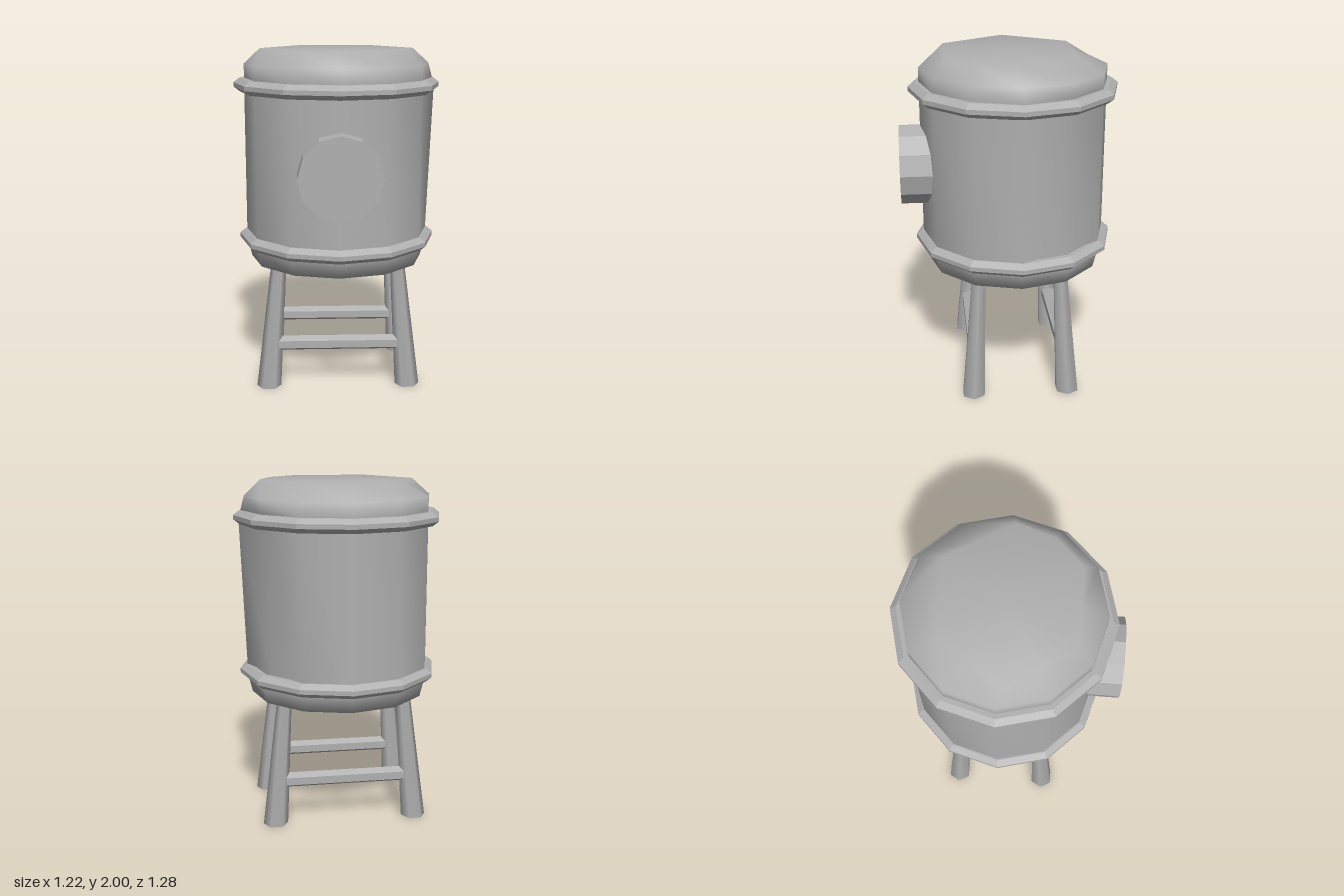
import * as THREE from 'three';

const SIDES = 12;
const CZ = -0.03; // the tank axis sits slightly behind centre

// Facet a geometry so each face is flat
function faceted(geometry) {
  const g = geometry.index ? geometry.toNonIndexed() : geometry;
  g.computeVertexNormals();
  return g;
}

// Smooth tank shell from rings of 12 points, closed at both ends
function tankGeometry() {
  const wall = (bump) => (k) => (k === 11 ? 0.49 : k === 0 ? 0.547 + bump : 0.547);
  const rows = [
    { y: 0.74, r: () => 0, z: CZ },
    { y: 0.74, r: () => 0.52, z: CZ },
    { y: 0.84, r: () => 0.545, z: CZ },
    { y: 0.9, r: wall(0), z: CZ },
    { y: 1.76, r: wall(0.033), z: CZ },
    { y: 1.83, r: (k) => (k === 0 ? 0.568 : 0.547), z: CZ },
    { y: 1.91, r: () => 0.547, z: CZ },
    // the flat top has six main corners and one extra
    { y: 2, r: (k) => (k === 1 ? 0.44 : k % 2 ? 0.39 : 0.45), z: 0, sz: 0.94 },
    { y: 2, r: () => 0, z: 0 },
  ];
  const pos = [];
  const index = [];
  rows.forEach((row, i) => {
    for (let k = 0; k < SIDES; k++) {
      const a = (k / SIDES) * Math.PI * 2;
      const r = row.r(k);
      pos.push(r * Math.cos(a), row.y, row.z + r * Math.sin(a) * (row.sz ?? 1));
      if (i === rows.length - 1) continue;
      const p = i * SIDES + k;
      const q = i * SIDES + ((k + 1) % SIDES);
      if (i < rows.length - 2) index.push(p, p + SIDES, q + SIDES);
      if (i > 0) index.push(p, q + SIDES, q);
    }
  });
  // one shared centre point for each end
  const last = (rows.length - 1) * SIDES;
  const shared = index.map((v) => (v < SIDES ? 0 : v >= last ? last : v));
  const g = new THREE.BufferGeometry();
  g.setAttribute('position', new THREE.Float32BufferAttribute(pos, 3));
  g.setIndex(shared);
  g.computeVertexNormals();
  return g;
}

// Bevelled hoop around the tank
function hoopGeometry(radius) {
  const profile = [
    [-0.09, -0.04], [-0.035, -0.04], [0, -0.013], [0, 0.013],
    [-0.035, 0.04], [-0.064, 0.04], [-0.09, -0.04],
  ].map(([r, y]) => new THREE.Vector2(radius + r, y));
  return faceted(new THREE.LatheGeometry(profile, SIDES));
}

// Six-sided tapered leg leaning from foot to top
function legGeometry(foot, top) {
  const height = top.y - foot.y;
  const g = new THREE.CylinderGeometry(0.042, 0.0725, height, 6);
  g.rotateY(Math.PI / 2);
  const p = g.attributes.position;
  for (let i = 0; i < p.count; i++) {
    const t = p.getY(i) / height + 0.5;
    p.setXYZ(
      i,
      p.getX(i) + THREE.MathUtils.lerp(foot.x, top.x, t),
      foot.y + t * height,
      p.getZ(i) + THREE.MathUtils.lerp(foot.z, top.z, t),
    );
  }
  return g;
}

export function createModel() {
  const group = new THREE.Group();
  const grey = new THREE.MeshStandardMaterial({ color: 0xb0b0b0 });
  grey.name = 'plain grey';

  const add = (name, geometry, x = 0, y = 0, z = 0) => {
    const mesh = new THREE.Mesh(geometry, grey);
    mesh.name = name;
    mesh.position.set(x, y, z);
    group.add(mesh);
    return mesh;
  };

  add('tank', tankGeometry());
  add('upperHoop', hoopGeometry(0.61), 0, 1.788, CZ);
  add('lowerHoop', hoopGeometry(0.59), 0, 0.873, CZ);

  // Round hatch on the front
  const hatch = new THREE.CylinderGeometry(0.236, 0.236, 0.2, 12);
  hatch.rotateX(Math.PI / 2);
  add('hatch', faceted(hatch), 0, 1.335, 0.54);

  // Four splayed legs, and a crossbar for each pair
  for (const sz of [1, -1]) {
    const end = sz > 0 ? 'front' : 'back';
    for (const sx of [1, -1]) {
      const foot = new THREE.Vector3(sx * 0.417, 0, -0.033 + sz * 0.283);
      const top = new THREE.Vector3(sx * 0.35, 0.78, -0.033 + sz * 0.238);
      add(end + (sx > 0 ? 'LeftLeg' : 'RightLeg'), legGeometry(foot, top));
    }
    const bar = new THREE.CylinderGeometry(0.045, 0.045, 0.71, 6);
    bar.rotateY(Math.PI / 2);
    bar.rotateZ(Math.PI / 2);
    add(end + 'Crossbar', faceted(bar), 0, 0.264, -0.033 + sz * 0.268);
  }

  return group;
}
